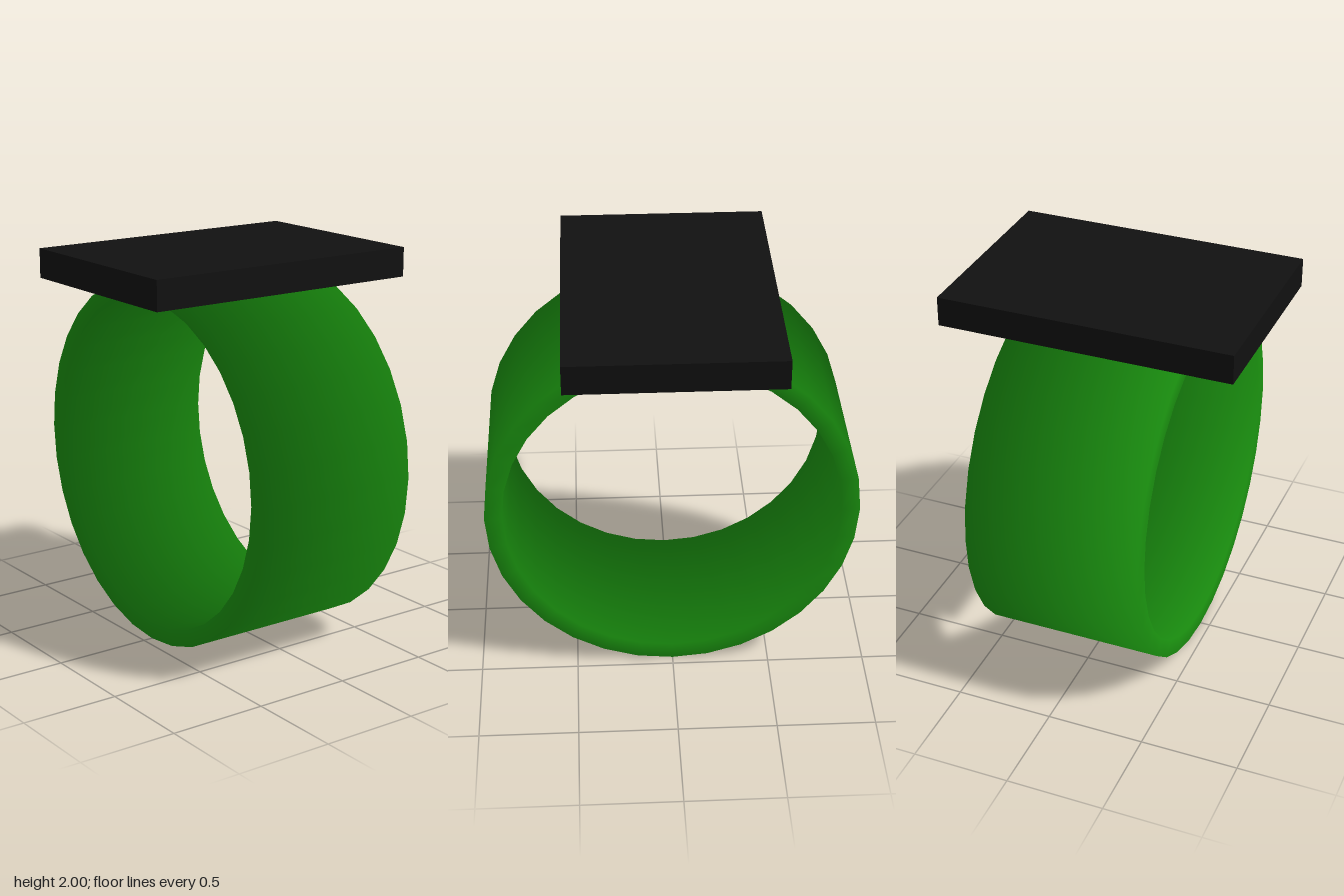
import * as THREE from 'three';

const OUTER = 0.94, INNER = 0.85, HALF_WIDTH = 0.45;

// Wide ring band: rectangular section turned around the x axis
function makeBand() {
  const profile = [
    [OUTER, -HALF_WIDTH], [OUTER, HALF_WIDTH],
    [INNER, HALF_WIDTH], [INNER, -HALF_WIDTH], [OUTER, -HALF_WIDTH],
  ].map(([r, y]) => new THREE.Vector2(r, y));
  const geometry = new THREE.LatheGeometry(profile, 32);

  // Soft shading across the section: corner normals lean strongly sideways
  const pos = geometry.attributes.position;
  const normal = geometry.attributes.normal;
  const n = new THREE.Vector3();
  for (let i = 0; i < pos.count; i++) {
    const r = Math.hypot(pos.getX(i), pos.getZ(i));
    const out = (r > (OUTER + INNER) / 2 ? 0.2 : -0.2) / r;
    n.set(pos.getX(i) * out, Math.sign(pos.getY(i)), pos.getZ(i) * out).normalize();
    normal.setXYZ(i, n.x, n.y, n.z);
  }
  geometry.rotateZ(-Math.PI / 2);

  const band = new THREE.Mesh(geometry, new THREE.MeshStandardMaterial({ color: 0x1b9410 }));
  band.name = 'band';
  band.position.y = OUTER;
  return band;
}

// Flat rectangular plate resting on the band
function makePlate() {
  const plate = new THREE.Mesh(
    new THREE.BoxGeometry(1.5, 0.15, 1.05),
    new THREE.MeshStandardMaterial({ color: 0x111111 }),
  );
  plate.name = 'topPlate';
  plate.position.y = 1.925;
  return plate;
}

export function createModel() {
  const group = new THREE.Group();
  group.name = 'ringWithPlate';
  group.add(makeBand(), makePlate());
  return group;
}
